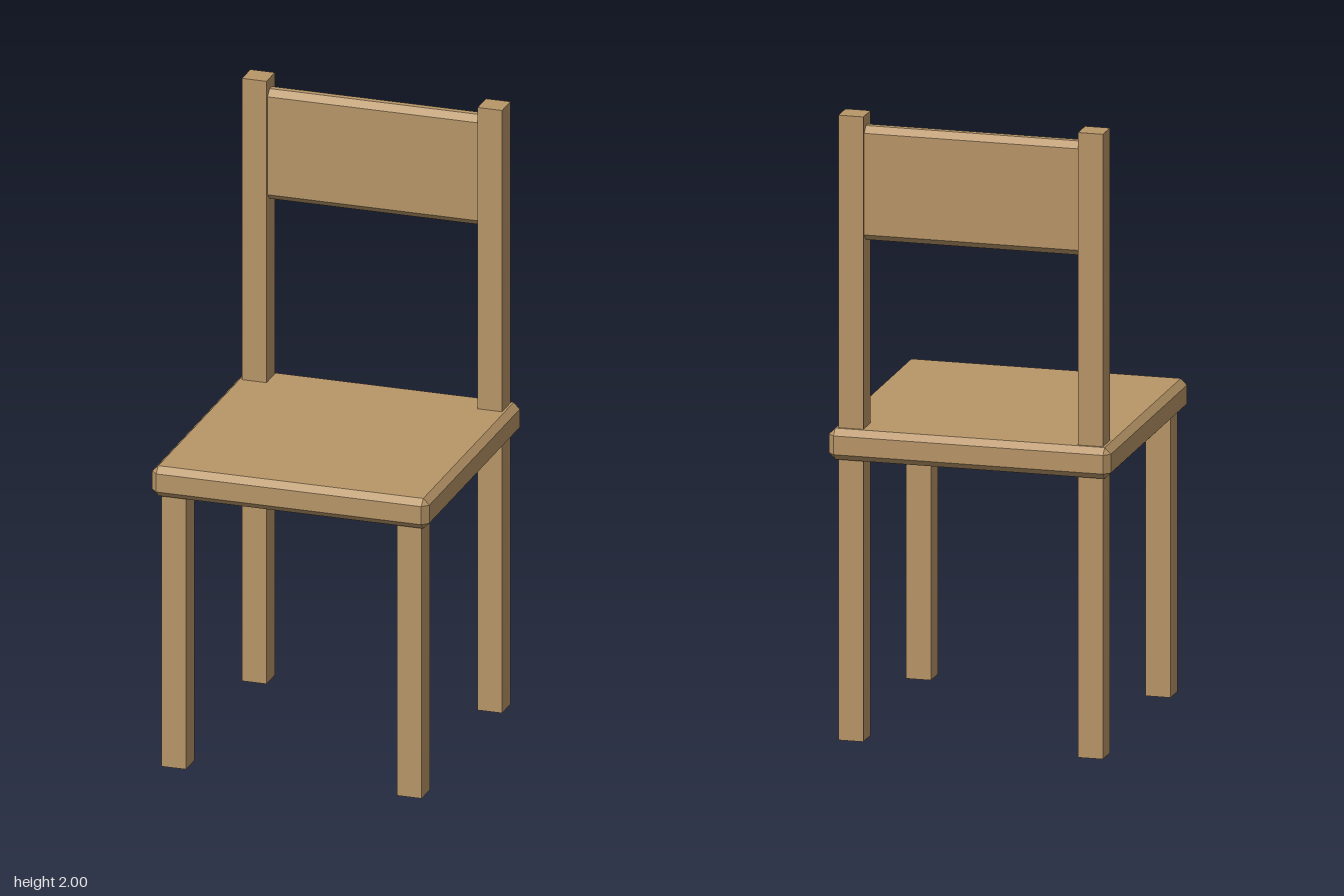
import * as THREE from 'three';
import { ConvexGeometry } from 'three/addons/geometries/ConvexGeometry.js';

// Box with every edge cut by a flat chamfer
function chamferedBox(w, h, d, c) {
  const points = [];
  for (const sx of [-1, 1]) for (const sy of [-1, 1]) for (const sz of [-1, 1]) {
    const x = w / 2, y = h / 2, z = d / 2;
    points.push(
      new THREE.Vector3(sx * x, sy * (y - c), sz * (z - c)),
      new THREE.Vector3(sx * (x - c), sy * y, sz * (z - c)),
      new THREE.Vector3(sx * (x - c), sy * (y - c), sz * z)
    );
  }
  return new ConvexGeometry(points);
}

export function createModel() {
  const group = new THREE.Group();
  const wood = new THREE.MeshStandardMaterial({ color: 0xb89668 });
  wood.name = 'wood';

  function add(name, geometry, x, y, z) {
    const mesh = new THREE.Mesh(geometry, wood);
    mesh.name = name;
    mesh.position.set(x, y, z);
    group.add(mesh);
  }

  // Seat slab
  add('seat', chamferedBox(0.906, 0.1, 0.906, 0.02), 0, 0.95, 0);

  // Short front legs, and back legs that run up to hold the backrest
  const thickness = 0.08, offset = 0.385;
  for (const [side, s] of [['left', 1], ['right', -1]]) {
    add(side + 'FrontLeg', new THREE.BoxGeometry(thickness, 0.92, thickness), s * offset, 0.46, offset);
    add(side + 'BackLeg', new THREE.BoxGeometry(thickness, 2, thickness), s * offset, 1, -offset);
  }

  // Backrest board, let into the posts at both ends
  add('backrest', chamferedBox(0.75, 0.365, 0.06, 0.02), 0, 1.7825, -offset);

  return group;
}
